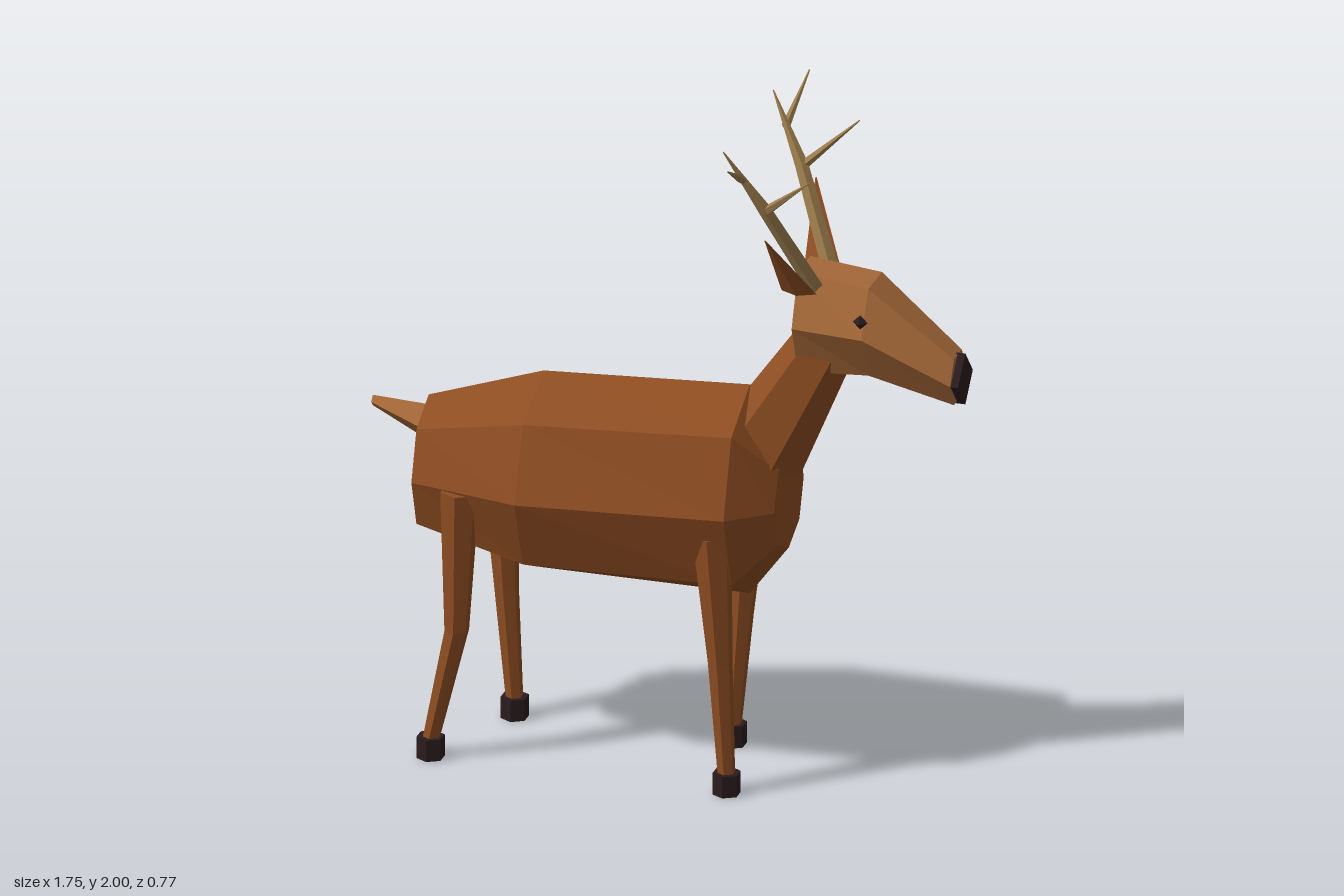
import * as THREE from 'three';

const makeMaterial = (name, color) => {
  const m = new THREE.MeshStandardMaterial({ color, flatShading: true });
  m.name = name;
  return m;
};

const X = new THREE.Vector3(1, 0, 0);
const Y = new THREE.Vector3(0, 1, 0);
const Z = new THREE.Vector3(0, 0, 1);
const DOWN = new THREE.Vector3(0, -1, 0);

// Closed n-sided skin through sections [x, y, z, radius along u, radius across u],
// running in direction w
function loft(sections, n, w, u, phase = 0) {
  const v = new THREE.Vector3().crossVectors(w, u);
  const rings = sections.map(([x, y, z, ru, rv = ru]) =>
    Array.from({ length: n }, (_, i) => {
      const a = phase + (i / n) * Math.PI * 2;
      return new THREE.Vector3(x, y, z)
        .addScaledVector(u, Math.cos(a) * ru)
        .addScaledVector(v, Math.sin(a) * rv);
    }));
  const pos = [];
  const tri = (...pts) => pts.forEach((p) => pos.push(p.x, p.y, p.z));
  const centre = (s) => new THREE.Vector3(s[0], s[1], s[2]);
  const first = centre(sections[0]);
  const last = centre(sections[sections.length - 1]);
  for (let i = 0; i < n; i++) {
    const j = (i + 1) % n;
    for (let k = 0; k < rings.length - 1; k++) {
      const a = rings[k], b = rings[k + 1];
      tri(a[i], a[j], b[j]);
      tri(a[i], b[j], b[i]);
    }
    const end = rings[rings.length - 1];
    tri(first, rings[0][j], rings[0][i]);
    tri(last, end[i], end[j]);
  }
  const g = new THREE.BufferGeometry();
  g.setAttribute('position', new THREE.Float32BufferAttribute(pos, 3));
  g.computeVertexNormals();
  return g;
}

// Tapered spike or beam through points [x, y, z, radius]
function spike(points) {
  const a = points[0], b = points[points.length - 1];
  const w = new THREE.Vector3(b[0] - a[0], b[1] - a[1], b[2] - a[2]).normalize();
  const u = X.clone().addScaledVector(w, -w.x).normalize();
  return loft(points, 5, w, u);
}

export function createModel() {
  const model = new THREE.Group();
  model.name = 'deer';
  const coat = makeMaterial('brown coat', 0x8e4d22);
  const face = makeMaterial('light brown face', 0xa86a39);
  const horn = makeMaterial('tan antler', 0x9c7d4c);
  const dark = makeMaterial('dark hoof and nose', 0x2b1c1e);

  const add = (name, geometry, material, parent = model) => {
    const mesh = new THREE.Mesh(geometry, material);
    mesh.name = name;
    parent.add(mesh);
    return mesh;
  };

  // Barrel body, rump to chest
  add('body', loft([
    [-0.71, 0.828, 0, 0.205, 0.163],
    [-0.37, 0.848, 0, 0.302, 0.277],
    [0.24, 0.865, 0, 0.32, 0.25],
    [0.355, 0.86, 0, 0.16, 0.14],
  ], 8, X, Y), coat);

  // Neck leaning forward
  const neckDir = new THREE.Vector3(0.42, 0.9, 0).normalize();
  const neckFront = new THREE.Vector3(0.9, -0.42, 0).normalize();
  add('neck', loft([
    [0.265, 0.985, 0, 0.137],
    [0.475, 1.36, 0, 0.088],
  ], 6, neckDir, neckFront), coat);

  // Head tapering to the muzzle, with a diamond nose
  add('head', loft([
    [0.4, 1.422, 0, 0.177, 0.118],
    [0.61, 1.418, 0, 0.153, 0.13],
    [0.855, 1.285, 0, 0.081, 0.075],
  ], 6, X, Y, Math.PI / 6), face);
  add('nose', loft([
    [0.815, 1.283, 0, 0.078, 0.07],
    [0.877, 1.283, 0, 0.078, 0.07],
  ], 4, X, Y), dark);

  // Short tail
  add('tail', loft([
    [-0.69, 0.942, 0, 0.06, 0.057],
    [-0.875, 0.995, 0, 0.016, 0.016],
  ], 4, X.clone().negate(), Y), face);

  for (const s of [1, -1]) {
    const side = s > 0 ? 'Near' : 'Far';

    const eye = add('eye' + side, new THREE.OctahedronGeometry(0.022), dark);
    eye.position.set(0.602, 1.468, s * 0.115);

    add('ear' + side, loft([
      [0.42, 1.535, s * 0.11, 0.052, 0.027],
      [0.36, 1.738, s * 0.24, 0.002, 0.002],
    ], 4, Y, X), coat);

    // Antler: main beam and two tines
    const antler = new THREE.Group();
    antler.name = 'antler' + side;
    model.add(antler);
    add('beam', spike([
      [0.455, 1.54, s * 0.07, 0.025],
      [0.34, 1.8, s * 0.17, 0.02],
      [0.235, 1.992, s * 0.235, 0.002],
    ]), horn, antler);
    add('frontTine', spike([
      [0.337, 1.795, s * 0.17, 0.015],
      [0.49, 1.93, s * 0.238, 0.002],
    ]), horn, antler);
    add('outerTine', spike([
      [0.282, 1.9, s * 0.205, 0.013],
      [0.295, 2, s * 0.385, 0.002],
    ]), horn, antler);

    // Legs in mid-stride: [name, top x, top y, knee x, hoof x]
    const legs = [
      ['frontLeg', 0.185, 0.79, s > 0 ? 0.207 : 0.16, s > 0 ? 0.225 : 0.135],
      ['hindLeg', -0.56, 0.83, s > 0 ? -0.572 : -0.535, s > 0 ? -0.65 : -0.51],
    ];
    for (const [name, topX, topY, kneeX, hoofX] of legs) {
      add(name + side, loft([
        [topX, topY, s * 0.183, 0.052, 0.058],
        [kneeX, 0.4, s * 0.175, 0.034, 0.036],
        [hoofX, 0.05, s * 0.173, 0.025, 0.025],
      ], 6, DOWN, Z), coat);
      add(name + 'Hoof' + side, loft([
        [hoofX, 0.065, s * 0.173, 0.041, 0.041],
        [hoofX, 0, s * 0.173, 0.041, 0.041],
      ], 6, DOWN, Z), dark);
    }
  }
  return model;
}
